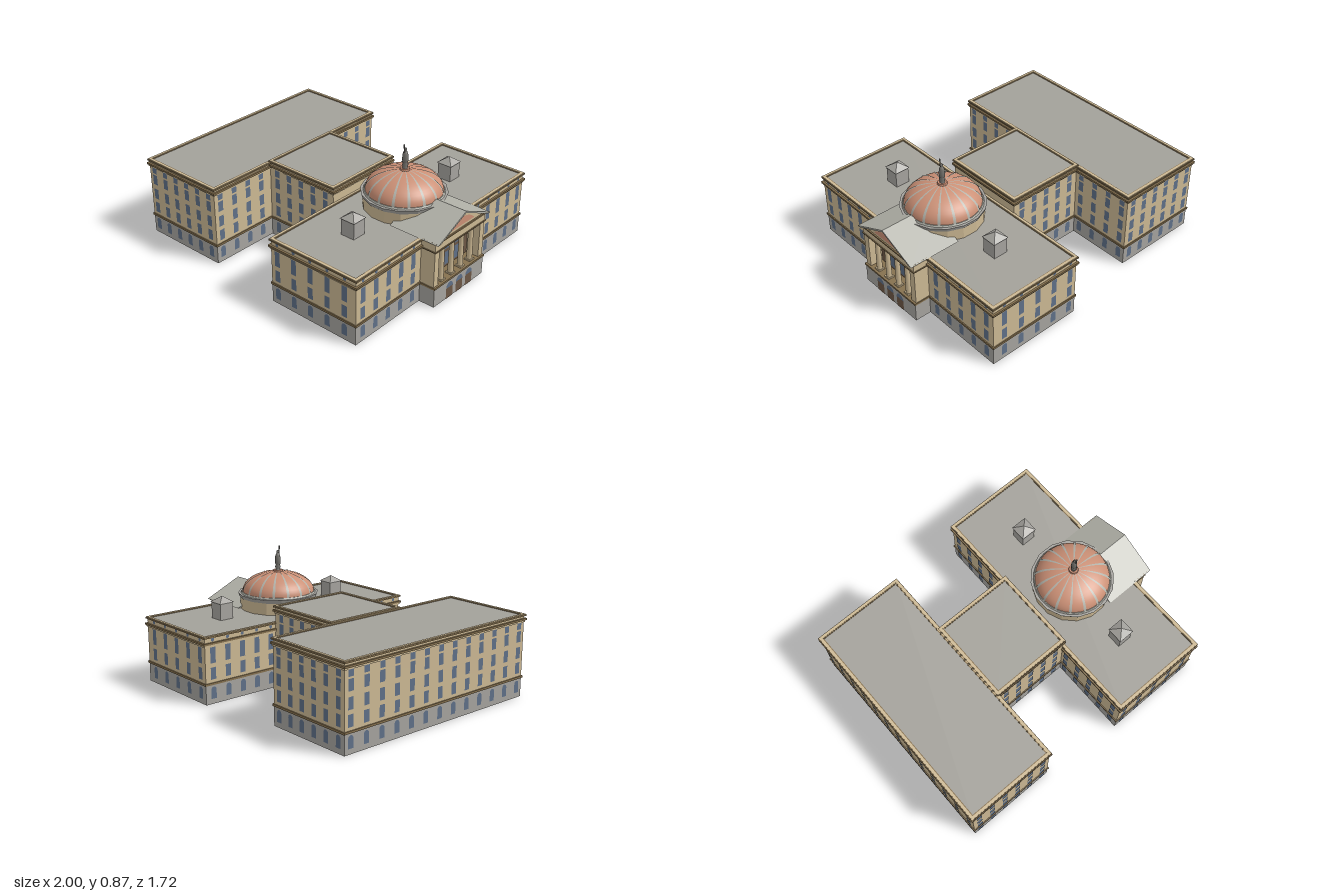
import * as THREE from 'three';
import { mergeGeometries } from 'three/addons/utils/BufferGeometryUtils.js';

const mat = (name, color) => {
  const m = new THREE.MeshStandardMaterial({ color });
  m.name = name;
  return m;
};

export function createModel() {
  const root = new THREE.Group();
  root.name = 'domedBuilding';
  const stone = mat('tan stone', 0xcdb994);
  const base = mat('grey base stone', 0xa6a49f);
  const roofGrey = mat('roof grey', 0xa3a19a);
  const lead = mat('light roof grey', 0xb2b2a9);
  const trim = mat('brown trim', 0x86714f);
  const glass = mat('window blue', 0x5f7088);
  const copper = mat('copper', 0xcb9076);
  const wood = mat('dark brown', 0x6c5745);
  const metal = mat('statue grey', 0x74726d);

  const add = (parent, name, geo, m) => {
    const mesh = new THREE.Mesh(geo, m);
    mesh.name = name;
    parent.add(mesh);
    return mesh;
  };
  const group = (name) => {
    const g = new THREE.Group();
    g.name = name;
    root.add(g);
    return g;
  };
  // box given by its two corners
  const box = (x0, x1, y0, y1, z0, z1) => new THREE.BoxGeometry(x1 - x0, y1 - y0, z1 - z0)
    .translate((x0 + x1) / 2, (y0 + y1) / 2, (z0 + z1) / 2);
  const rectPoints = ([x0, x1, z0, z1], o) => [[x0 - o, -z1 - o], [x1 + o, -z1 - o], [x1 + o, -z0 + o], [x0 - o, -z0 + o]]
    .map(([x, y]) => new THREE.Vector2(x, y));
  // hollow rectangular band around a footprint
  const ring = (foot, y0, y1, out, inn) => {
    const s = new THREE.Shape(rectPoints(foot, out));
    s.holes.push(new THREE.Path(rectPoints(foot, -inn)));
    return new THREE.ExtrudeGeometry(s, { depth: y1 - y0, bevelEnabled: false })
      .rotateX(-Math.PI / 2).translate(0, y0, 0);
  };
  // prism along x from a profile of [z, y] points
  const prismX = (pts, x0, x1) => new THREE.ExtrudeGeometry(
    new THREE.Shape(pts.map(([z, y]) => new THREE.Vector2(-z, y)).reverse()), { depth: x1 - x0, bevelEnabled: false })
    .rotateY(Math.PI / 2).translate(x0, 0, 0);

  // flat panels, later turned to face a wall
  const pane = (w, y0, y1) => new THREE.ShapeGeometry(new THREE.Shape([[-w / 2, y0], [w / 2, y0], [w / 2, y1], [-w / 2, y1]]
    .map(([x, y]) => new THREE.Vector2(x, y))));
  const arch = (w, y0, y1) => {
    const s = new THREE.Shape();
    s.moveTo(-w / 2, y0);
    s.lineTo(w / 2, y0);
    s.lineTo(w / 2, y1 - w / 2);
    s.absarc(0, y1 - w / 2, w / 2, 0, Math.PI);
    return new THREE.ShapeGeometry(s, 6);
  };
  const disc = (r, y) => new THREE.CircleGeometry(r, 12).translate(0, y, 0);
  const onWall = (geo, dir, wall, along) => {
    const sign = dir[0] === '+' ? 1 : -1;
    const w = wall + sign * 0.003;
    return dir[1] === 'z'
      ? geo.rotateY(sign > 0 ? 0 : Math.PI).translate(along, 0, w)
      : geo.rotateY(sign * Math.PI / 2).translate(w, 0, along);
  };

  // one hollow block: walls, bands, parapet, roof and windows
  const W = 0.04;
  const block = (name, foot, cornice, top, faces, column) => {
    const g = group(name);
    add(g, 'baseWall', ring(foot, 0, 0.13, 0, 0.004), base);
    add(g, 'wall', ring(foot, 0.13, top - 0.01, 0, 0.004), stone);
    add(g, 'stringCourse', ring(foot, 0.127, 0.141, 0.007, 0), trim);
    add(g, 'corniceBed', ring(foot, cornice - 0.012, cornice, 0.006, 0), stone);
    add(g, 'cornice', ring(foot, cornice, cornice + 0.013, 0.013, 0), trim);
    add(g, 'parapetEdge', ring(foot, top - 0.014, top - 0.004, 0.01, 0), trim);
    add(g, 'parapetCap', ring(foot, top - 0.01, top, 0.006, 0.012), stone);
    add(g, 'parapetInnerEdge', ring(foot, top - 0.01, top - 0.003, -0.01, 0.018), trim);
    const [x0, x1, z0, z1] = foot;
    add(g, 'roof', box(x0 + 0.003, x1 - 0.003, top - 0.02, top - 0.007, z0 + 0.003, z1 - 0.003), roofGrey);
    const panes = faces.flatMap(([dir, wall, spots]) =>
      spots.flatMap((a) => column().map((p) => onWall(p, dir, wall, a))));
    add(g, 'windows', mergeGeometries(panes), glass);
    return g;
  };
  const series = (n, start, step) => Array.from({ length: n }, (_, i) => start + i * step);
  const tallColumn = () => [arch(W, 0.035, 0.115), pane(W, 0.163, 0.238), pane(W, 0.265, 0.34),
    pane(W, 0.373, 0.445), pane(W, 0.457, 0.508)];
  const lowColumn = () => [arch(W, 0.035, 0.115), pane(W, 0.163, 0.242), pane(W, 0.27, 0.375), disc(0.012, 0.424)];

  // rear wing, link and front wing
  const rearX = series(6, -0.94, 0.105), rearZ = series(13, -0.7, 0.12);
  block('rearWing', [-0.988, -0.362, -0.745, 0.788], 0.512, 0.553, [
    ['+z', 0.788, rearX], ['-z', -0.745, rearX], ['-x', -0.988, rearZ],
    ['+x', -0.362, rearZ.filter((z) => Math.abs(z) > 0.32)]], tallColumn);
  const linkX = series(5, -0.295, 0.106);
  block('linkWing', [-0.36, 0.195, -0.29, 0.29], 0.52, 0.562, [
    ['+z', 0.29, linkX], ['-z', -0.29, linkX]], tallColumn);
  const frontX = series(5, 0.25, 0.133);
  const frontZ = [...series(5, 0.33, 0.115), ...series(5, -0.79, 0.115)];
  block('frontWing', [0.198, 0.866, -0.848, 0.848], 0.393, 0.45, [
    ['+z', 0.848, frontX], ['-z', -0.848, frontX], ['+x', 0.866, frontZ], ['-x', 0.198, frontZ]], lowColumn);

  // portico
  const portico = group('portico');
  add(portico, 'porticoBase', box(0.86, 0.978, 0, 0.13, -0.255, 0.255), base);
  add(portico, 'porticoStep', box(0.86, 0.983, 0.127, 0.14, -0.26, 0.26), trim);
  add(portico, 'recessWall', box(0.862, 0.88, 0.14, 0.388, -0.212, 0.212), wood);
  for (const s of [-1, 1]) {
    add(portico, 'cornerPier', box(0.86, 0.97, 0.14, 0.388, s * 0.232 - 0.022, s * 0.232 + 0.022), stone);
  }
  for (const z of [-0.15, -0.05, 0.05, 0.15]) {
    const col = new THREE.Group();
    col.name = 'column';
    col.position.set(0.945, 0, z);
    portico.add(col);
    add(col, 'shaft', new THREE.CylinderGeometry(0.016, 0.019, 0.25, 16).translate(0, 0.263, 0), stone);
    add(col, 'capital', box(-0.021, 0.021, 0.372, 0.388, -0.021, 0.021), stone);
    add(col, 'plinth', box(-0.022, 0.022, 0.138, 0.15, -0.022, 0.022), stone);
  }
  add(portico, 'entablature', box(0.86, 0.972, 0.385, 0.455, -0.255, 0.255), stone);
  add(portico, 'entablatureBand', box(0.86, 0.978, 0.386, 0.393, -0.26, 0.26), trim);
  add(portico, 'pedimentSill', box(0.86, 0.984, 0.446, 0.456, -0.262, 0.262), trim);
  add(portico, 'pediment', prismX([[-0.25, 0.453], [0.25, 0.453], [0, 0.563]], 0.64, 0.975), stone);
  add(portico, 'porticoRoof', prismX([[-0.27, 0.452], [-0.245, 0.452], [0, 0.562], [0.245, 0.452],
    [0.27, 0.452], [0, 0.575]], 0.635, 1), lead);
  const fan = new THREE.Shape();
  fan.moveTo(-0.125, 0.474);
  fan.lineTo(0.125, 0.474);
  fan.quadraticCurveTo(0.07, 0.526, 0, 0.528);
  fan.quadraticCurveTo(-0.07, 0.526, -0.125, 0.474);
  add(portico, 'pedimentPanel', onWall(new THREE.ShapeGeometry(fan), '+x', 0.975, 0), copper);
  const bays = [-0.1, 0, 0.1];
  add(portico, 'porticoWindows', mergeGeometries(bays.flatMap((z) => [
    onWall(pane(0.056, 0.155, 0.25), '+x', 0.88, z), onWall(pane(0.056, 0.27, 0.32), '+x', 0.88, z),
    onWall(pane(0.056, 0.327, 0.38), '+x', 0.88, z), onWall(arch(0.068, 0.076, 0.114), '+x', 0.978, z)])), glass);
  add(portico, 'doors', mergeGeometries(bays.map((z) => onWall(pane(0.068, 0.001, 0.077), '+x', 0.978, z))), wood);

  // roof turrets
  for (const z of [-0.48, 0.48]) {
    const t = group('roofTurret');
    t.position.set(0.523, 0, z);
    add(t, 'turretBody', box(-0.05, 0.05, 0.44, 0.556, -0.05, 0.05), base);
    add(t, 'turretRoof', new THREE.ConeGeometry(0.08, 0.04, 4, 1).rotateY(Math.PI / 4).translate(0, 0.575, 0)
      .toNonIndexed(), base).geometry.computeVertexNormals();
  }

  // drum, dome and ribs
  const dome = group('dome');
  dome.position.set(0.53, 0, 0);
  const cyl = (r0, r1, y0, y1, n) => new THREE.CylinderGeometry(r1, r0, y1 - y0, n).rotateY(Math.PI / n)
    .translate(0, (y0 + y1) / 2, 0);
  const flat = (geo) => {
    const f = geo.toNonIndexed();
    f.computeVertexNormals();
    return f;
  };
  add(dome, 'drum', flat(cyl(0.262, 0.262, 0.44, 0.53, 16)), stone);
  add(dome, 'drumCornice', flat(cyl(0.268, 0.277, 0.525, 0.55, 16)), base);
  add(dome, 'domeFoot', cyl(0.258, 0.252, 0.55, 0.56, 32), lead);
  const arc = (extra) => series(13, 0, Math.PI / 26).map((a) =>
    new THREE.Vector2((0.247 + extra) * Math.cos(a), 0.556 + (0.138 + extra) * Math.sin(a)));
  add(dome, 'domeShell', new THREE.LatheGeometry(arc(0), 48), copper);
  const ribs = series(16, 0, Math.PI / 8).map((a) => new THREE.LatheGeometry(arc(0.004), 1, a - 0.036, 0.072));
  add(dome, 'domeRibs', mergeGeometries(ribs), lead);

  // finial and statue
  add(dome, 'finialBase', cyl(0.034, 0.03, 0.688, 0.705, 16), copper);
  const profile = [[0.022, 0.7], [0.014, 0.712], [0.02, 0.724], [0.013, 0.738], [0.018, 0.745], [0.02, 0.77],
    [0.017, 0.8], [0.012, 0.815], [0.006, 0.82], [0.009, 0.828], [0.007, 0.838], [0, 0.842]];
  add(dome, 'statue', new THREE.LatheGeometry(profile.map(([r, y]) => new THREE.Vector2(r, y)), 12), metal);
  const arm = new THREE.LineCurve3(new THREE.Vector3(0, 0.805, 0.01), new THREE.Vector3(0, 0.865, 0.015));
  add(dome, 'raisedArm', new THREE.TubeGeometry(arm, 1, 0.004, 6), metal);
  add(dome, 'torch', new THREE.SphereGeometry(0.006, 8, 6).translate(0, 0.864, 0.015), metal);
  return root;
}
